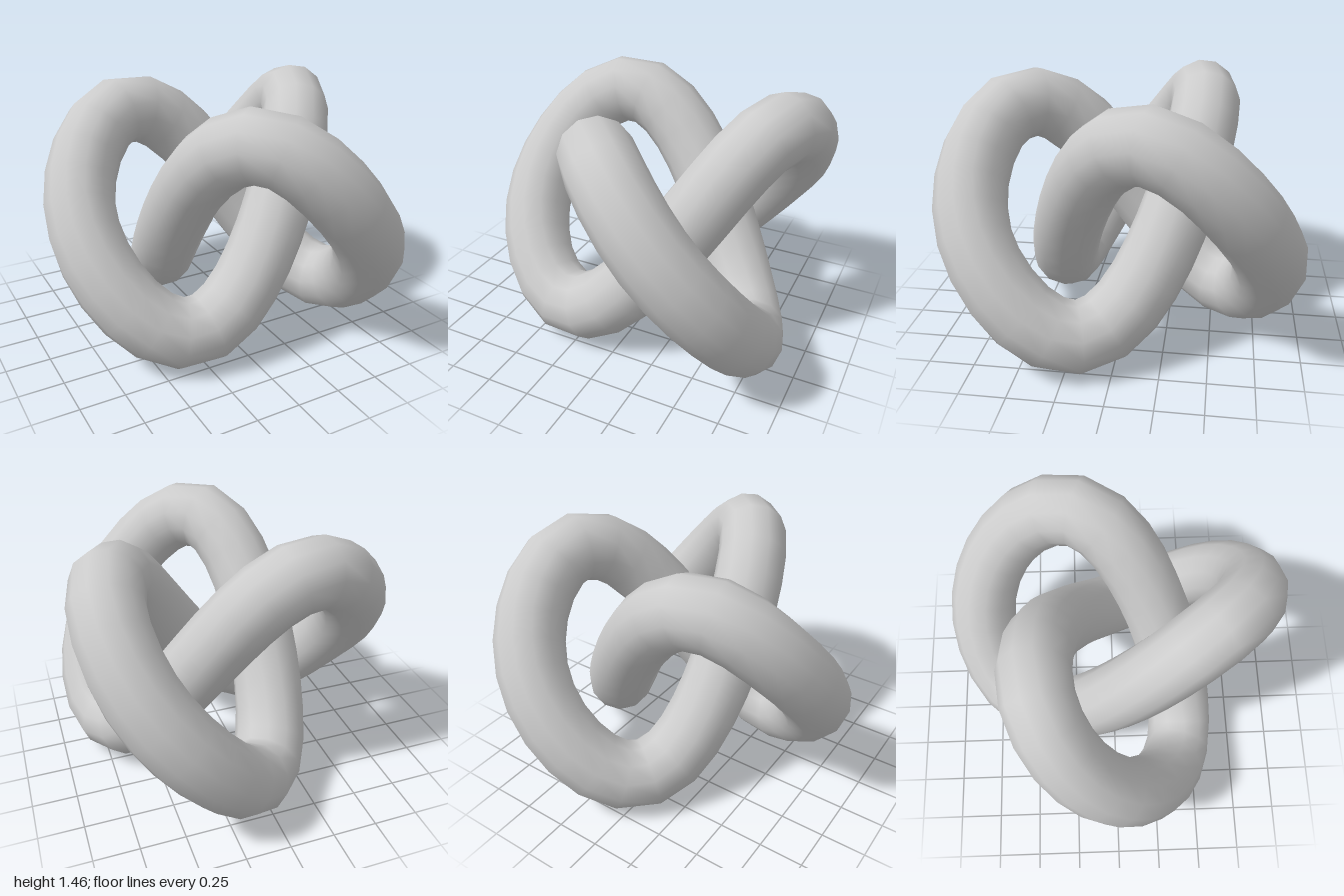
import * as THREE from 'three';

const TUBE_RADIUS = 0.197;

// Closed trefoil path around the vertical axis
class TrefoilCurve extends THREE.Curve {
  getPoint(u, target = new THREE.Vector3()) {
    const t = u * Math.PI * 2;
    const outer = 0.6, inner = 0.275;
    return target.set(
      0.13 - (outer * Math.cos(2 * t) + inner * Math.cos(t)),
      // the second harmonic rounds the outer loops
      0.732 + 0.518 * (Math.sin(3 * t) - 0.137 * Math.sin(6 * t)),
      -(outer * Math.sin(2 * t) - inner * Math.sin(t))
    );
  }
}

export function createModel() {
  const group = new THREE.Group();
  group.name = 'trefoilKnot';

  // Single smooth tube swept along the knot
  const knot = new THREE.Mesh(
    new THREE.TubeGeometry(new TrefoilCurve(), 64, TUBE_RADIUS, 12, true),
    new THREE.MeshStandardMaterial({ color: 0xcccccc })
  );
  knot.name = 'knotTube';
  group.add(knot);
  return group;
}
